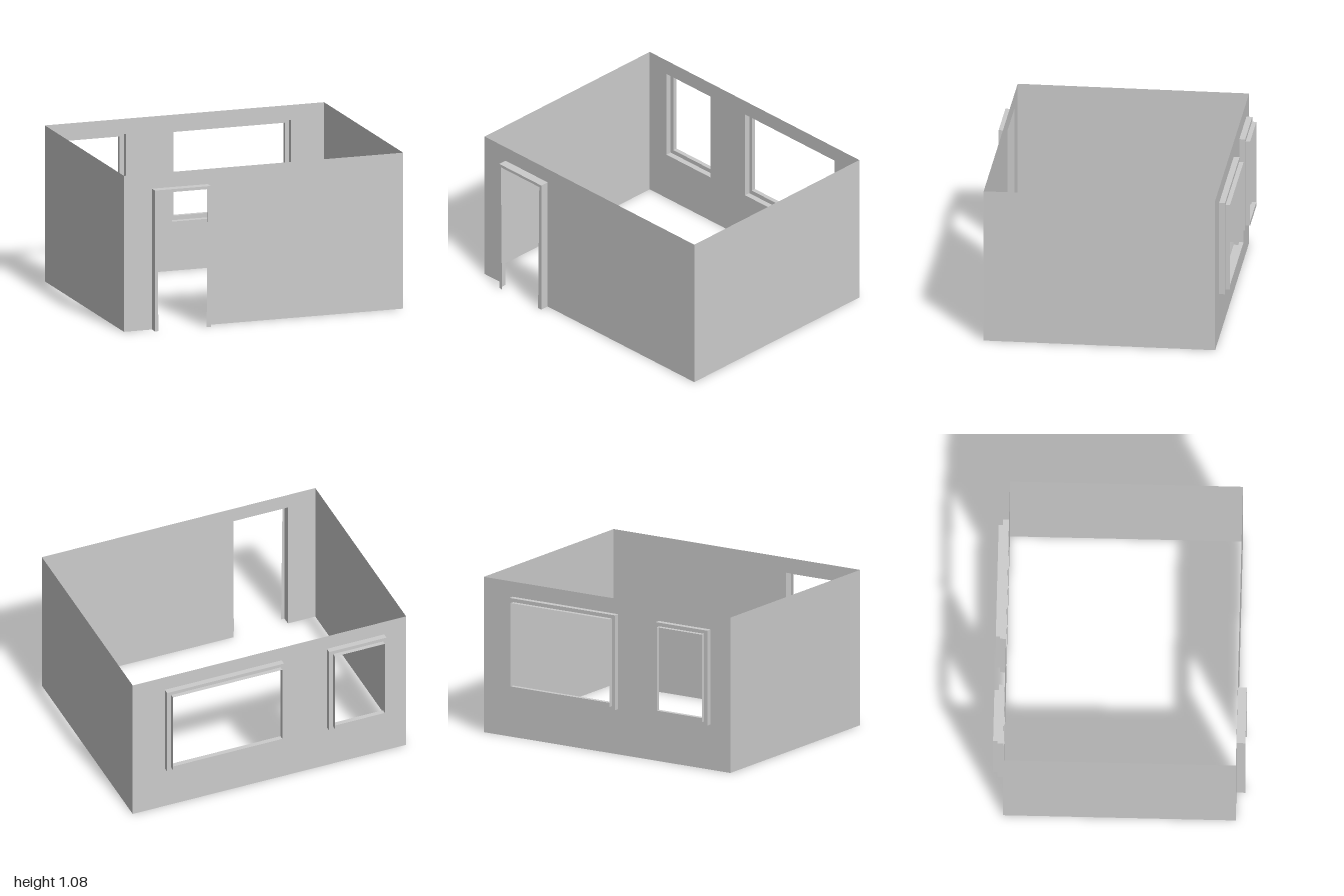
import * as THREE from 'three';

const material = new THREE.MeshStandardMaterial({ color: 0xcccccc, side: THREE.DoubleSide, flatShading: true });
const H = 1.08, FRONT = 0.79, BACK = -0.78;

function add(parent, name, geometry) {
  const mesh = new THREE.Mesh(geometry, material);
  mesh.name = name;
  parent.add(mesh);
  return mesh;
}

const toVectors = (pts) => pts.map(([x, y]) => new THREE.Vector2(x, y));

// Flat sheet in the xy plane at depth z, with optional holes
function sheet(pts, z, holes = []) {
  const shape = new THREE.Shape(toVectors(pts));
  holes.forEach((h) => shape.holes.push(new THREE.Path(toVectors(h))));
  return new THREE.ShapeGeometry(shape).translate(0, 0, z);
}

// Thin sheet following an open xy path, drawn out from z0 to z1
function strip(pts, z0, z1) {
  const positions = [], index = [];
  pts.forEach(([x, y], i) => {
    positions.push(x, y, z0, x, y, z1);
    if (i) {
      const a = 2 * i - 2;
      index.push(a, a + 1, a + 2, a + 1, a + 3, a + 2);
    }
  });
  const g = new THREE.BufferGeometry();
  g.setAttribute('position', new THREE.Float32BufferAttribute(positions, 3));
  g.setIndex(index);
  const flat = g.toNonIndexed();
  flat.computeVertexNormals();
  return flat;
}

const rect = (x0, x1, y0, y1) => [[x0, y0], [x1, y0], [x1, y1], [x0, y1]];
const arch = (x0, x1, y0, y1) => [[x0, y0], [x0, y1], [x1, y1], [x1, y0]];

function box(x0, x1, y0, y1, z0, z1) {
  return new THREE.BoxGeometry(x1 - x0, y1 - y0, z1 - z0)
    .translate((x0 + x1) / 2, (y0 + y1) / 2, (z0 + z1) / 2);
}

// Two-step window surround that projects outward from the back wall
function windowFrame(name, outer, inner) {
  const g = new THREE.Group();
  g.name = name;
  const [a, b] = outer, [c, d] = inner;
  const mid = -0.82, end = -0.85;
  add(g, 'outerReveal', strip(arch(a, b, 0.34, 0.975), BACK, mid));
  add(g, 'stepFace', sheet([...arch(a, b, 0.34, 0.975), ...arch(c, d, 0.34, 0.95).reverse()], mid));
  add(g, 'innerReveal', strip(arch(c, d, 0.34, 0.95), mid, end));
  add(g, 'lowerSill', box(a, b, 0.315, 0.34, mid, BACK));
  add(g, 'upperSill', box(c, d, 0.34, 0.37, end, mid));
  return g;
}

export function createModel() {
  const model = new THREE.Group();
  model.name = 'room';

  // Walls: single sheets, open above and below
  const door = arch(-0.8, -0.4, 0, 0.975);
  const windows = [
    { name: 'smallWindow', outer: [-0.84, -0.42], inner: [-0.815, -0.45] },
    { name: 'wideWindow', outer: [-0.09, 0.765], inner: [-0.065, 0.735] },
  ];
  add(model, 'frontWall', sheet([[-1, 0], ...door, [1, 0], [1, H], [-1, H]], FRONT));
  add(model, 'backWall', sheet(rect(-1, 1, 0, H), BACK,
    windows.map((w) => rect(...w.outer, 0.34, 0.975))));
  for (const [name, x] of [['leftWall', 1], ['rightWall', -1]]) {
    add(model, name, strip([[x, 0], [x, H]], BACK, FRONT));
  }

  // Door surround: projecting reveal with a narrow front face
  const doorFrame = new THREE.Group();
  doorFrame.name = 'doorFrame';
  add(doorFrame, 'doorReveal', strip(door, FRONT, 0.85));
  add(doorFrame, 'doorFace', sheet(
    [...door, [-0.43, 0], [-0.419, 0.955], [-0.785, 0.955], [-0.775, 0]], 0.85));
  model.add(doorFrame);

  windows.forEach((w) => model.add(windowFrame(w.name, w.outer, w.inner)));
  return model;
}
